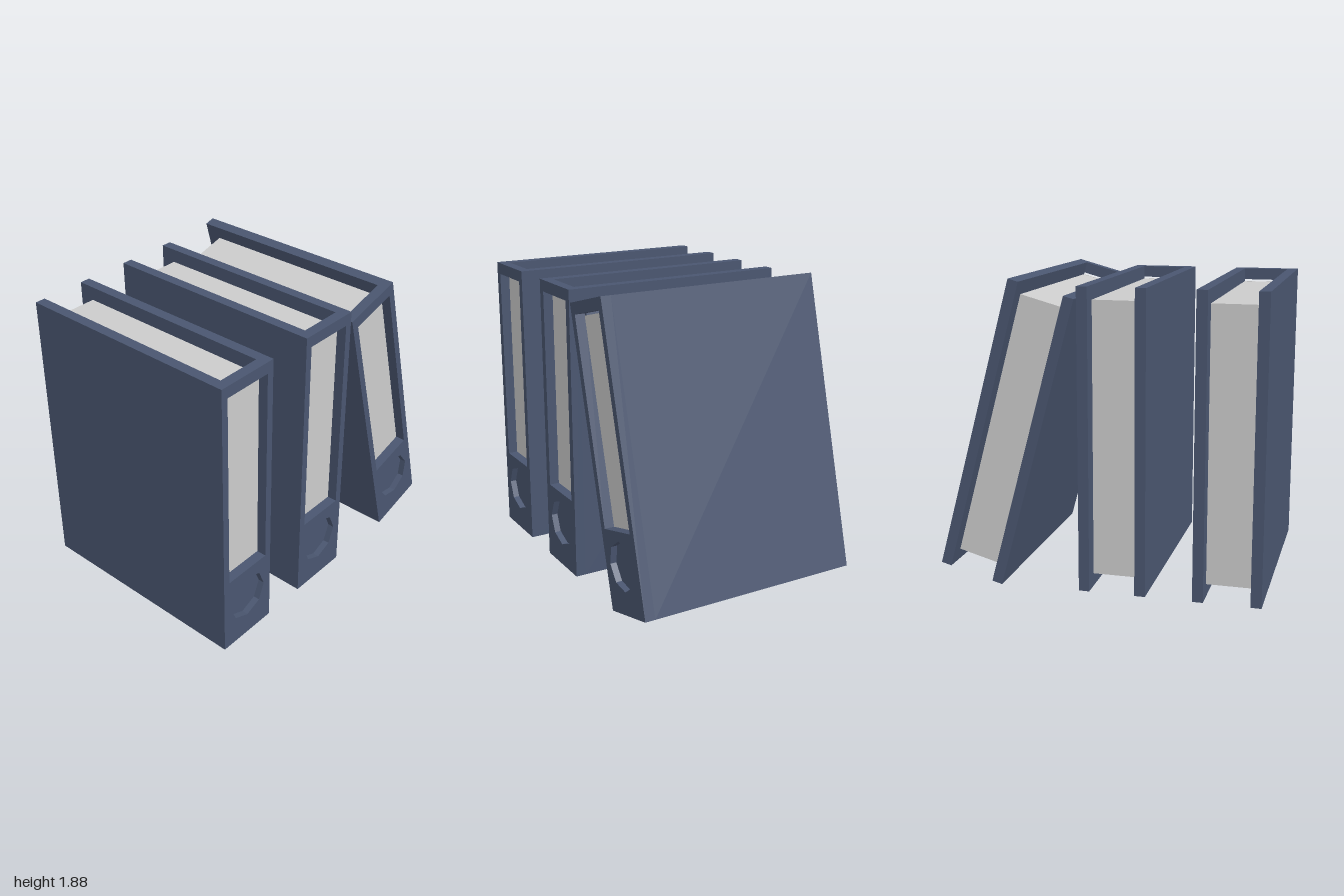
import * as THREE from 'three';

const H = 1.835, W = 0.41, HALF = 0.722, T = 0.065; // binder height, width, half depth, board thickness

const boardBlue = new THREE.MeshStandardMaterial({ color: 0x4a5670 });
boardBlue.name = 'boardBlue';
const paperGrey = new THREE.MeshStandardMaterial({ color: 0xcccccc });
paperGrey.name = 'paperGrey';

function box(name, mat, x0, x1, y0, y1, z0, z1) {
  const mesh = new THREE.Mesh(new THREE.BoxGeometry(x1 - x0, y1 - y0, z1 - z0), mat);
  mesh.position.set((x0 + x1) / 2, (y0 + y1) / 2, (z0 + z1) / 2);
  mesh.name = name;
  return mesh;
}

function rectPoints(x0, x1, y0, y1) {
  return [[x0, y0], [x1, y0], [x1, y1], [x0, y1]].map(([x, y]) => new THREE.Vector2(x, y));
}

function octagonPoints(r, cy) {
  return Array.from({ length: 8 }, (_, i) => {
    const a = (i * Math.PI) / 4;
    return new THREE.Vector2(r * Math.cos(a), cy + r * Math.sin(a));
  });
}

// Extrude an outline drawn on the spine plane so that it runs from x0 to x1
function spineSlab(name, shape, x0, x1) {
  const geo = new THREE.ExtrudeGeometry(shape, { depth: x1 - x0, bevelEnabled: false });
  geo.rotateY(Math.PI / 2);
  geo.translate(x0, 0, 0);
  const mesh = new THREE.Mesh(geo, boardBlue);
  mesh.name = name;
  return mesh;
}

function createBinder(name) {
  const g = new THREE.Group();
  g.name = name;
  const inner = HALF - T;

  // Two cover boards
  for (const s of [-1, 1]) {
    const a = s * (W / 2), b = s * (W / 2 - T);
    g.add(box(s > 0 ? 'frontCover' : 'backCover', boardBlue,
      -HALF, inner, 0, H, Math.min(a, b), Math.max(a, b)));
  }

  // Spine with label window and finger hole
  const spine = new THREE.Shape(rectPoints(-W / 2, W / 2, 0, H));
  spine.holes.push(new THREE.Path(rectPoints(-0.16, 0.16, 0.5, 1.763)));
  spine.holes.push(new THREE.Path(octagonPoints(0.15, 0.292)));
  g.add(spineSlab('spine', spine, inner, HALF));
  g.add(spineSlab('fingerHoleFloor', new THREE.Shape(octagonPoints(0.15, 0.292)), inner, HALF - 0.04));

  // Label behind the window, and the block of pages
  g.add(box('spineLabel', paperGrey, inner - 0.003, inner + 0.003, 0.5, 1.75, -0.16, 0.16));
  g.add(box('pages', paperGrey, -0.625, 0.645, 0.08, 1.75, -W / 2 + T, W / 2 - T));
  return g;
}

export function createModel() {
  const model = new THREE.Group();
  model.name = 'binders';

  // Two upright binders
  [0.795, 0.1].forEach((z, i) => {
    const b = createBinder('uprightBinder' + (i + 1));
    b.position.set(0, 0.01, z);
    model.add(b);
  });

  // One binder leaning forward against the others
  const tilt = THREE.MathUtils.degToRad(15.2);
  const leaning = createBinder('leaningBinder');
  leaning.rotation.x = tilt;
  leaning.position.set(0, (W / 2) * Math.sin(tilt), -0.6 - (W / 2) * Math.cos(tilt));
  model.add(leaning);
  return model;
}
